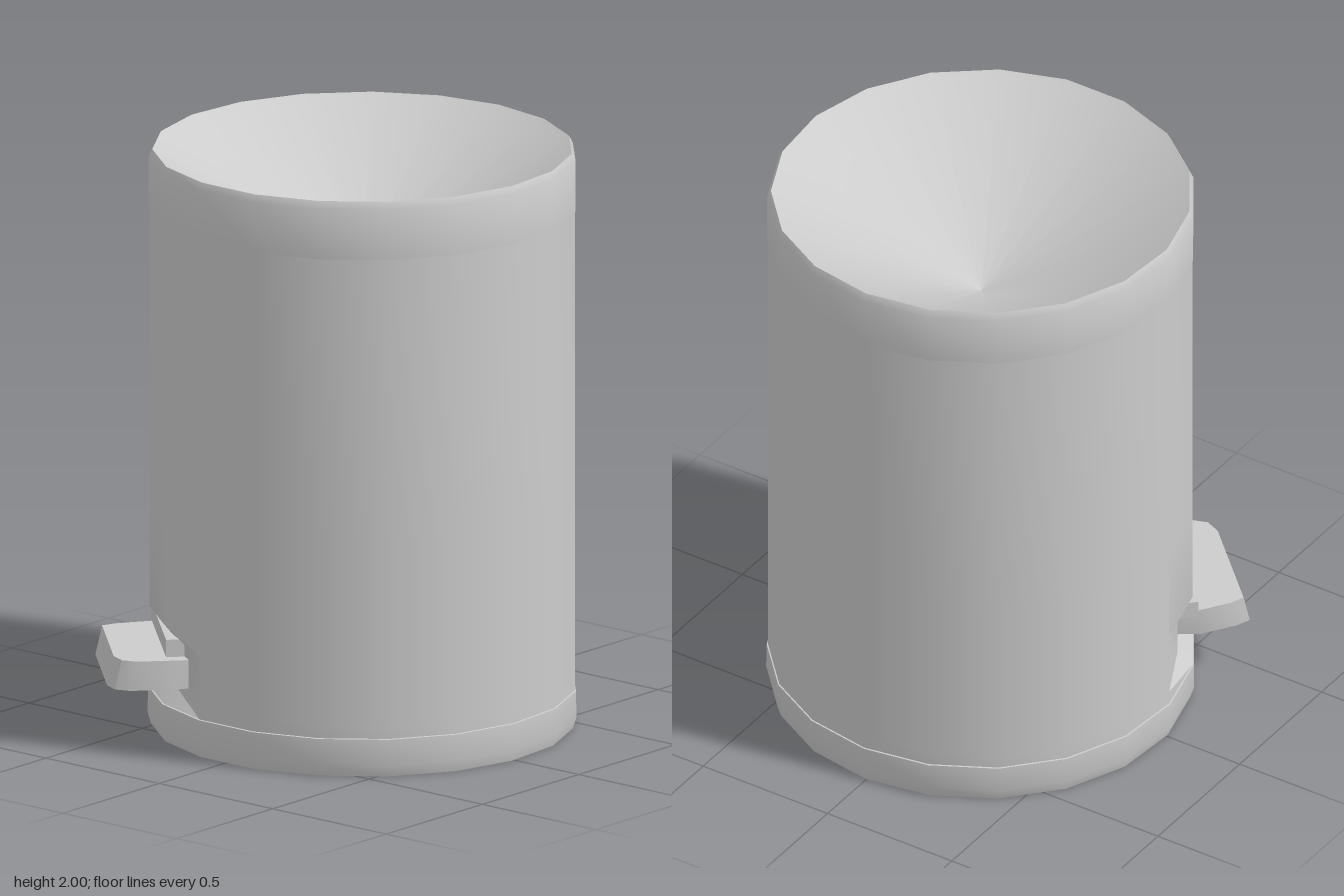
import * as THREE from 'three';
import { mergeVertices, toCreasedNormals } from 'three/addons/utils/BufferGeometryUtils.js';

const SIDES = 19;
const CENTER_Z = -0.05;
const PEDAL_ANGLE = Math.atan2(-0.69, 0.72);

// Revolve [radius, height] points into a 19-sided shell, seam at the back.
function revolve(points) {
  const profile = points.map(([r, y]) => new THREE.Vector2(r, y));
  return new THREE.LatheGeometry(profile, SIDES, Math.PI, Math.PI * 2);
}

// Weld the seam, then smooth everything below the crease angle.
function smooth(geometry, crease) {
  geometry.deleteAttribute('uv');
  geometry.deleteAttribute('normal');
  return toCreasedNormals(mergeVertices(geometry, 1e-4), crease);
}

export function createModel() {
  const model = new THREE.Group();
  model.name = 'pedalBin';
  const grey = new THREE.MeshStandardMaterial({ color: 0xcccccc });
  grey.name = 'light grey';

  function add(name, geometry, z = CENTER_Z) {
    const mesh = new THREE.Mesh(geometry, grey);
    mesh.name = name;
    mesh.position.set(0.005, 0, z);
    model.add(mesh);
  }

  // Foot ring with a closed flat underside
  add('base', smooth(revolve([
    [0, 0], [0.712, 0], [0.724, 0.04], [0.722, 0.13], [0.7, 0.132],
  ]), 0.7));

  // Drum wall, pressed inwards around the pedal slot
  const wall = revolve([
    [0.7, 0.13], [0.718, 0.132], [0.718, 0.18], [0.718, 0.35],
    [0.718, 0.41], [0.718, 0.75], [0.718, 1.8],
  ]);
  const pos = wall.attributes.position;
  for (let i = 0; i < pos.count; i++) {
    const x = pos.getX(i), y = pos.getY(i), z = pos.getZ(i);
    const offset = Math.abs(Math.atan2(x, z) - PEDAL_ANGLE);
    if (y > 0.15 && y < 0.38 && offset < 0.4) {
      pos.setXYZ(i, x * 0.93, y, z * 0.93);
    }
  }
  add('drumWall', smooth(wall, 0.7));

  // Lid band, narrow rim and the sunken conical top
  add('lid', smooth(revolve([
    [0.7, 1.799], [0.721, 1.8], [0.721, 1.975], [0.708, 2], [0.695, 1.992], [0, 1.59],
  ]), 0.8));

  // Foot pedal: plan outline in x and z, flared slightly towards its underside
  const outline = [
    [-0.35, 0.1], [-0.63, 0.29], [-0.705, 0.4], [-0.725, 0.45],
    [-0.44, 0.725], [-0.385, 0.748], [-0.335, 0.73], [-0.23, 0.62], [-0.1, 0.4],
  ].map(([x, z]) => new THREE.Vector2(x, z));
  const pedal = new THREE.ExtrudeGeometry(new THREE.Shape(outline), {
    depth: 0.1, bevelEnabled: false,
  });
  pedal.rotateX(Math.PI / 2).translate(0, 0.31, 0);
  const p = pedal.attributes.position;
  for (let i = 0; i < p.count; i++) {
    if (p.getY(i) < 0.25) {
      p.setX(i, p.getX(i) - 0.012);
      p.setZ(i, p.getZ(i) + 0.02);
    }
  }
  add('pedal', smooth(pedal, 0.6), 0);

  // Hinge ledge tucked against the wall above the pedal
  const ledge = new THREE.BoxGeometry(0.5, 0.06, 0.1);
  ledge.translate(0, 0.34, 0.64).rotateY(PEDAL_ANGLE);
  add('hingeLedge', ledge);

  return model;
}
